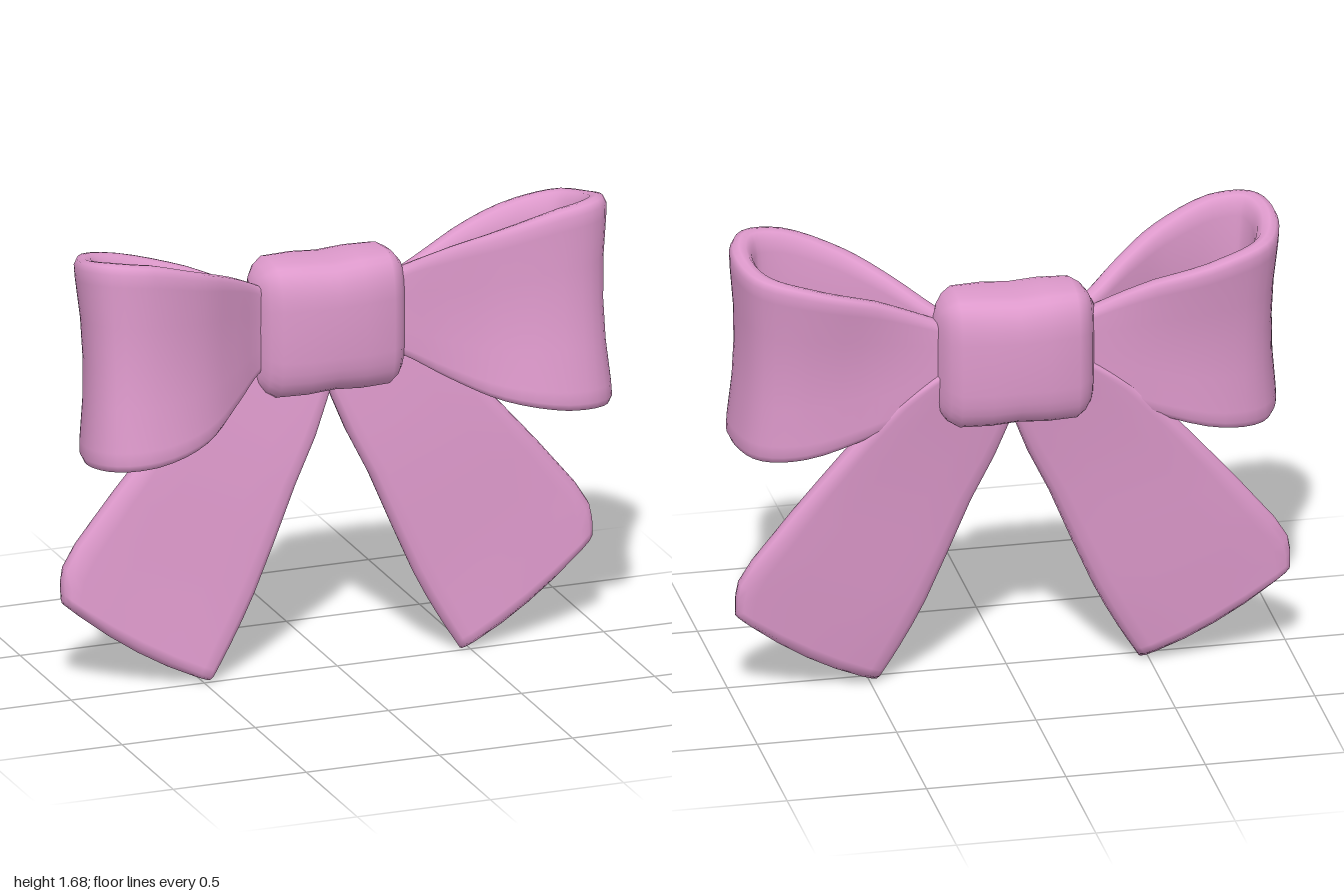
import * as THREE from 'three';

const material = new THREE.MeshStandardMaterial({ color: 0xdd99cb, side: THREE.DoubleSide });

// Ribbon cross-section: [position across -1..1, position through thickness -1..1]
const edge = [[-1, 0], [-0.985, 0.55], [-0.92, 0.9], [-0.8, 1], [-0.4, 1], [0, 1], [0.4, 1], [0.8, 1], [0.92, 0.9], [0.985, 0.55]];
const section = [...edge, ...edge.map(([w, s]) => [-w, -s])];

// Skin a list of rings into a closed, outward-facing smooth solid
function skin(name, rings) {
  const n = rings[0].length, m = rings.length;
  const pts = rings.flat();
  const index = [];
  for (let i = 0; i < m - 1; i++) {
    for (let j = 0; j < n; j++) {
      const a = i * n + j, b = i * n + (j + 1) % n;
      index.push(a, b, a + n, b, b + n, a + n);
    }
  }
  // end caps
  for (const [ring, start, first] of [[rings[0], 0, true], [rings[m - 1], (m - 1) * n, false]]) {
    const c = ring.reduce((sum, p) => sum.add(p), new THREE.Vector3()).divideScalar(n);
    const k = pts.push(c) - 1;
    for (let j = 0; j < n; j++) {
      const a = start + j, b = start + (j + 1) % n;
      if (first) index.push(k, b, a); else index.push(k, a, b);
    }
  }
  // make the faces point outward (mirrored parts turn inside out)
  let volume = 0;
  const cross = new THREE.Vector3();
  for (let i = 0; i < index.length; i += 3) {
    volume += pts[index[i]].dot(cross.crossVectors(pts[index[i + 1]], pts[index[i + 2]]));
  }
  if (volume < 0) index.reverse();
  const geometry = new THREE.BufferGeometry().setFromPoints(pts);
  geometry.setIndex(index);
  geometry.computeVertexNormals();
  const mesh = new THREE.Mesh(geometry, material);
  mesh.name = name;
  return mesh;
}

const curve = rows => new THREE.CatmullRomCurve3(rows.map(r => new THREE.Vector3(...r)));

// Loop: plan path [x, z] with top and bottom heights, from back strand round to front
const loopRows = [
  [0.15, -0.13, 1.34, 1.14], [0.3, -0.13, 1.41, 1.08], [0.5, -0.132, 1.5, 0.98], [0.74, -0.132, 1.575, 0.905],
  [0.865, -0.09, 1.61, 0.89], [0.908, 0, 1.63, 0.895], [0.915, 0.09, 1.655, 0.905], [0.88, 0.16, 1.67, 0.915],
  [0.77, 0.18, 1.655, 0.925], [0.58, 0.125, 1.585, 0.965], [0.42, 0.02, 1.51, 1.03], [0.28, -0.08, 1.43, 1.1],
  [0.15, -0.12, 1.36, 1.14],
];

function bowLoop(name, side) {
  const path = curve(loopRows.map(([x, z]) => [x, 0, z]));
  const heights = curve(loopRows.map(([, , top, bottom]) => [top, bottom, 0]));
  const rings = [];
  const steps = 48;
  for (let i = 0; i <= steps; i++) {
    const t = i / steps;
    const p = path.getPoint(t), d = path.getTangent(t), h = heights.getPoint(t);
    const fade = THREE.MathUtils.smoothstep(p.x, 0.25, 0.7);
    rings.push(section.map(([w, s]) => {
      const out = (0.034 + 0.009 * fade) * s + 0.03 * w * w * fade; // thickness and flared rims
      return new THREE.Vector3(
        side * (p.x + d.z * out),
        (h.x + h.y) / 2 + w * (h.x - h.y) / 2 + side * 0.008 * fade,
        p.z - d.x * out - 0.03 * w * fade,
      );
    }));
  }
  return skin(name, rings);
}

// Tail: ribbon spanning an inner and an outer edge
const innerEdge = curve([[0, 1.2, -0.12], [0, 1.0, -0.09], [0.14, 0.68, -0.06], [0.3, 0.3, -0.045], [0.39, 0.13, -0.035], [0.47, 0, -0.025]]);
const outerEdge = curve([[0.2, 1.25, -0.14], [0.43, 1.1, -0.13], [0.7, 0.81, -0.12], [0.87, 0.61, -0.12], [0.985, 0.45, -0.115], [0.995, 0.325, -0.105]]);

function tail(name, side) {
  const rings = [];
  const stops = [0, 0.1, 0.2, 0.3, 0.4, 0.5, 0.6, 0.7, 0.8, 0.88, 0.94, 0.975, 1];
  for (const t of stops) {
    const a = innerEdge.getPoint(t), b = outerEdge.getPoint(t);
    const thick = t === 1 ? 0.018 : 0.045;
    rings.push(section.map(([w, s]) => {
      const p = a.clone().lerp(b, (w + 1) / 2);
      p.y -= 0.035 * (1 - w * w) * t ** 4; // bowed end
      p.z += s * thick;
      p.x *= side;
      return p;
    }));
  }
  return skin(name, rings);
}

// Knot: rounded-square sections along x: [x, half height, half depth]
function knot() {
  const half = [[0.287, 0.16, 0.02], [0.268, 0.2, 0.08], [0.245, 0.228, 0.115], [0.21, 0.248, 0.143], [0.1, 0.248, 0.16]];
  const rows = [...half.map(([x, h, d]) => [-x, h, d]), [0, 0.24, 0.163], ...half.reverse()];
  const power = (v, e) => Math.sign(v) * Math.abs(v) ** e;
  const rings = rows.map(([x, h, d]) => Array.from({ length: 32 }, (_, i) => {
    const a = i / 32 * Math.PI * 2;
    return new THREE.Vector3(x, 1.25 + h * power(Math.sin(a), 0.58), -0.12 + d * power(Math.cos(a), 0.58));
  }));
  return skin('knot', rings);
}

export function createModel() {
  const bow = new THREE.Group();
  bow.name = 'bow';
  for (const [label, side] of [['left', 1], ['right', -1]]) {
    bow.add(bowLoop(label + 'Loop', side), tail(label + 'Tail', side));
  }
  bow.add(knot());
  return bow;
}
